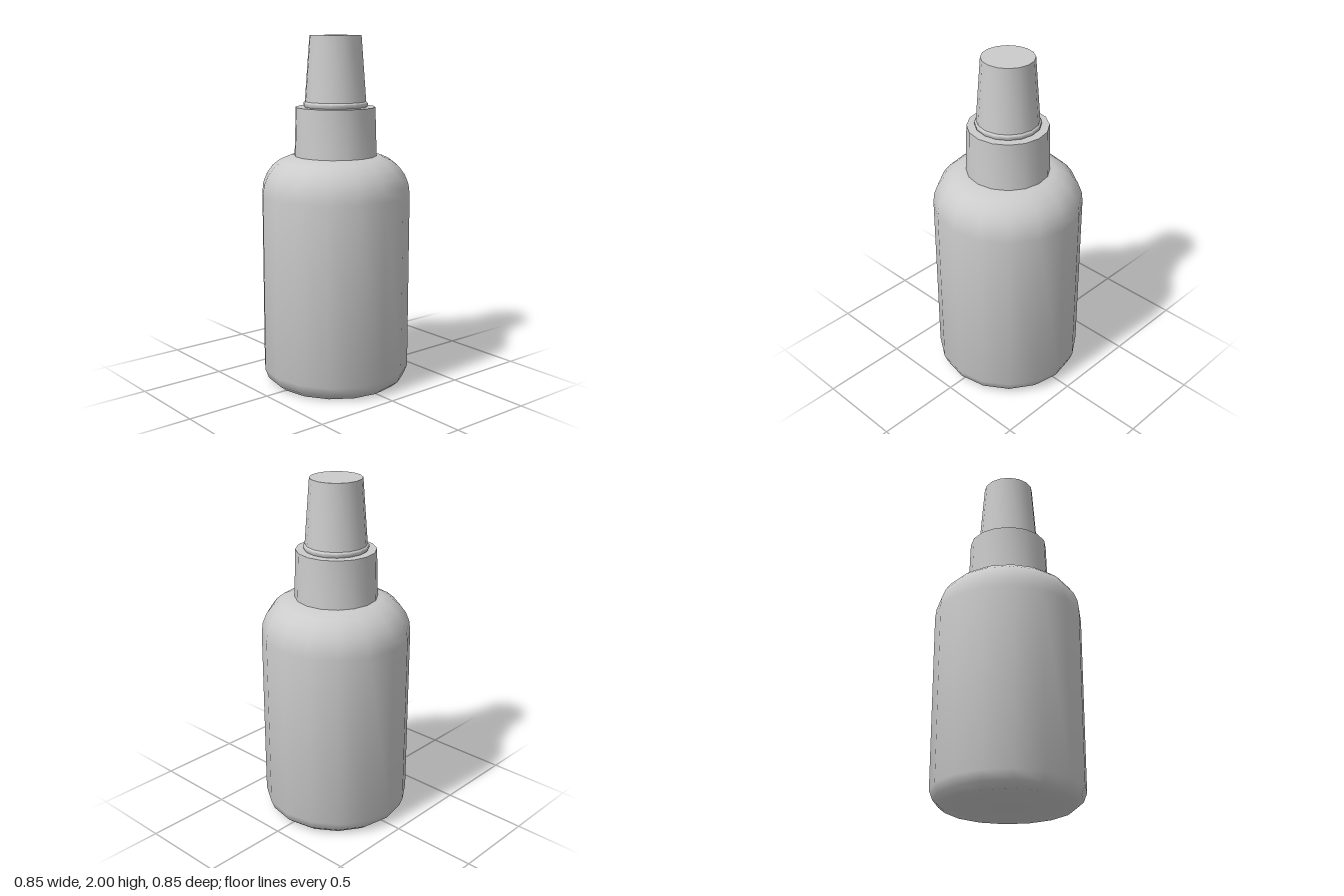
import * as THREE from 'three';
import { toCreasedNormals } from 'three/addons/utils/BufferGeometryUtils.js';

const SIDES = 16;

// Revolve a bottom-to-top profile of [radius, height] pairs
function turned(name, profile, crease = 0.8) {
  const points = profile.map(([r, y]) => new THREE.Vector2(r, y));
  const geometry = toCreasedNormals(new THREE.LatheGeometry(points, SIDES), crease);
  const mesh = new THREE.Mesh(geometry, new THREE.MeshStandardMaterial({ color: 0xcccccc }));
  mesh.name = name;
  return mesh;
}

// Quarter-ellipse from the side wall (radius cr + rx) up to the top (radius cr)
function shoulder(cr, cy, rx, ry, steps) {
  return Array.from({ length: steps + 1 }, (_, i) => {
    const a = (i / steps) * Math.PI / 2;
    return [cr + rx * Math.cos(a), cy + ry * Math.sin(a)];
  });
}

export function createModel() {
  const group = new THREE.Group();
  group.name = 'dropperBottle';

  // Bottle with a rounded foot and shoulder
  group.add(turned('bottleBody', [
    [0, 0], [0.365, 0], [0.405, 0.033], [0.425, 0.085],
    ...shoulder(0.215, 1.11, 0.21, 0.22, 6), [0, 1.33],
  ]));

  // Slightly tapered collar around the neck
  group.add(turned('collar', [
    [0, 1.325], [0.235, 1.325], [0.226, 1.602], [0, 1.602],
  ]));

  // Small lip under the cap
  group.add(turned('capLip', [
    [0, 1.6], [0.175, 1.6], [0.183, 1.61], [0.183, 1.625], [0.175, 1.633], [0, 1.633],
  ]));

  // Tapered cap
  group.add(turned('cap', [
    [0, 1.62], [0.175, 1.62], [0.146, 2], [0, 2],
  ]));

  return group;
}
